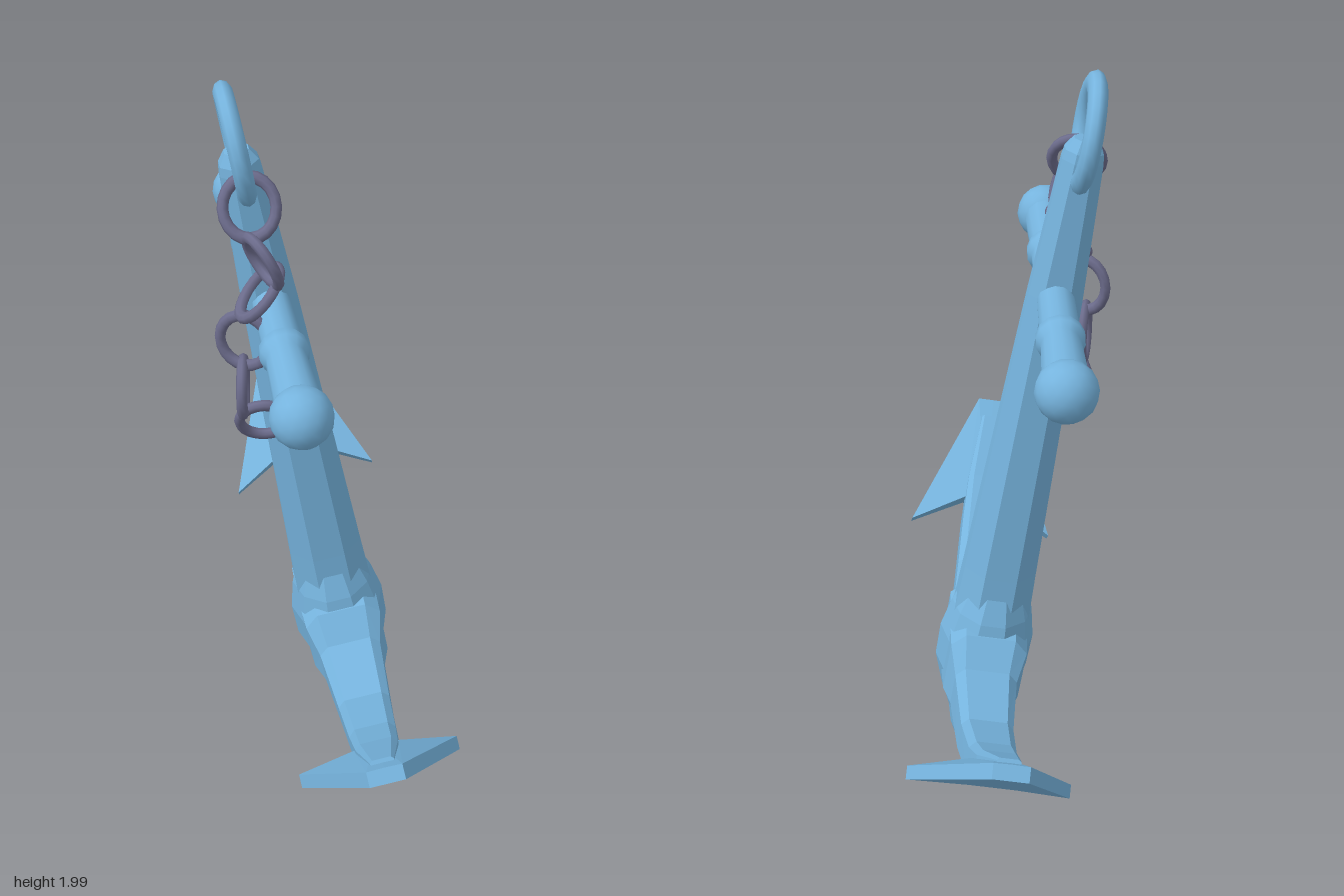
import * as THREE from 'three';

const iron = new THREE.MeshStandardMaterial({ color: 0x76b4de, flatShading: true });
const smoothIron = new THREE.MeshStandardMaterial({ color: 0x76b4de });
const chainIron = new THREE.MeshStandardMaterial({ color: 0x6c6c8c });

function part(name, geometry, parent, material = iron) {
  const mesh = new THREE.Mesh(geometry, material);
  mesh.name = name;
  parent.add(mesh);
  return mesh;
}

// Chamfered rectangle with half sizes a and b, counter-clockwise
function chamfered(a, b, k = 0.5) {
  const c = Math.min(a, b) * k;
  return [[a, c - b], [a, b - c], [a - c, b], [c - a, b], [-a, b - c], [-a, c - b], [c - a, -b], [a - c, -b]];
}

// Skin over rings of equal point count, closed at both ends
function loft(rings) {
  const n = rings[0].length, pos = rings.flat(2), idx = [];
  for (let r = 0; r < rings.length - 1; r++) {
    for (let i = 0; i < n; i++) {
      const a = r * n + i, b = r * n + (i + 1) % n;
      idx.push(a, b, b + n, a, b + n, a + n);
    }
  }
  const last = (rings.length - 1) * n;
  for (let i = 1; i < n - 1; i++) {
    idx.push(0, i + 1, i, last, last + i, last + i + 1);
  }
  const g = new THREE.BufferGeometry();
  g.setAttribute('position', new THREE.Float32BufferAttribute(pos, 3));
  g.setIndex(idx);
  g.computeVertexNormals();
  return g;
}

const profile = (pts) => pts.map(([r, y]) => new THREE.Vector2(r, y));

function addShank(parent) {
  // height, half width, half depth
  const sections = [[0.3, 0.105, 0.11], [0.6, 0.09, 0.098], [1.43, 0.06, 0.07],
    [1.8, 0.049, 0.052], [1.825, 0.045, 0.048], [1.855, 0.028, 0.03]];
  part('shank', loft(sections.map(([h, a, b]) =>
    chamfered(a, b, 0.6).map(([x, z]) => [x, h, -z]))), parent);
}

function addCrown(parent) {
  const pts = profile([[0, 0], [0.035, 0.008], [0.058, 0.05], [0.075, 0.11], [0.115, 0.19],
    [0.15, 0.28], [0.152, 0.38], [0.13, 0.47], [0.1, 0.54], [0.085, 0.6]]);
  const crown = part('crown', new THREE.LatheGeometry(pts, 10), parent);
  crown.scale.set(0.97, 1, 0.86);
}

function addArm(parent, side) {
  const arm = new THREE.Group();
  arm.name = side > 0 ? 'leftArm' : 'rightArm';
  arm.scale.x = side;
  parent.add(arm);

  // outward distance, height, half thickness, half width, slope
  const sections = [[0, 0.33, 0.12, 0.11, 0], [0.13, 0.33, 0.11, 0.105, 0], [0.19, 0.3, 0.07, 0.085, 0.02],
    [0.4, 0.305, 0.053, 0.07, 0.18], [0.58, 0.37, 0.05, 0.062, 0.45],
    [0.7, 0.45, 0.04, 0.055, 0.7], [0.86, 0.585, 0.018, 0.03, 0.74]];
  part('armBar', loft(sections.map(([s, h, t, w, a]) =>
    chamfered(w, t, 0.35).map(([d, v]) => [s - v * Math.sin(a), h + v * Math.cos(a), -d]))), arm);

  // Arrow-shaped fluke from two mirrored halves, raised along the middle
  const half = new THREE.ExtrudeGeometry(new THREE.Shape(profile(
    [[0, 0.08], [0.06, 0.08], [0.212, 0], [0.045, 0.415], [0, 0.415]])), { depth: 0.035, bevelEnabled: false });
  const p = half.attributes.position;
  for (let i = 0; i < p.count; i++) {
    if (p.getZ(i) > 0.01) p.setZ(i, 0.035 + 0.055 * (1 - p.getX(i) / 0.212) * (1 - p.getY(i) / 0.45));
  }
  half.computeVertexNormals();
  const fluke = new THREE.Group();
  fluke.name = 'fluke';
  const a = 0.735;
  fluke.matrixAutoUpdate = false;
  fluke.matrix.makeBasis(new THREE.Vector3(0, 0, 1), new THREE.Vector3(Math.cos(a), Math.sin(a), 0),
    new THREE.Vector3(-Math.sin(a), Math.cos(a), 0)).setPosition(0.622, 0.318, 0);
  for (const m of [1, -1]) part('flukeHalf', half, fluke).scale.x = m;
  arm.add(fluke);
}

function addStock(parent) {
  const stock = new THREE.Group();
  stock.name = 'stock';
  stock.position.y = 1.43;
  parent.add(stock);
  const pts = [[0.048, 0], [0.051, 0.23], [0.062, 0.25], [0.062, 0.275], [0.051, 0.3], [0.057, 0.47], [0.057, 0.53]];
  const full = [...pts.slice(1).reverse().map(([r, y]) => [r, -y]), ...pts];
  part('stockBar', new THREE.LatheGeometry(profile(full), 14), stock, smoothIron).rotation.z = -Math.PI / 2;
  for (const m of [1, -1]) {
    part('stockKnob', new THREE.IcosahedronGeometry(0.077, 2), stock, smoothIron).position.x = m * 0.532;
  }
}

function addChain(parent) {
  const chain = new THREE.Group();
  chain.name = 'chain';
  parent.add(chain);
  const link = new THREE.TorusGeometry(0.064, 0.014, 8, 20);
  link.scale(1, 1.15, 1);
  // centre, facing direction, long axis
  const links = [
    [[-0.22, 1.735, -0.04], [0.66, -0.45, -0.58], [0.4, 1, -0.4]],
    [[-0.25, 1.625, 0.025], [0.85, 0.35, 0.3], [0, 1, 0.3]],
    [[-0.235, 1.52, 0], [-0.55, 0.65, -0.5], [0.6, 0.8, 0.3]],
    [[-0.255, 1.375, -0.035], [0.9, 0, -0.4], [0.05, 1, 0]],
    [[-0.26, 1.235, -0.04], [0.6, 0, 0.75], [-0.15, 1, 0]],
    [[-0.205, 1.11, -0.02], [0.65, 0.4, -0.6], [-0.35, 1, 0.3]],
  ];
  for (const [c, n, l] of links) {
    const z = new THREE.Vector3(...n).normalize();
    const x = new THREE.Vector3(...l).cross(z).normalize();
    const y = z.clone().cross(x);
    const mesh = part('chainLink', link, chain, chainIron);
    mesh.quaternion.setFromRotationMatrix(new THREE.Matrix4().makeBasis(x, y, z));
    mesh.position.set(...c);
  }
}

export function createModel() {
  const model = new THREE.Group();
  model.name = 'anchorWithChain';

  // The anchor stands turned and leaning backwards
  const anchor = new THREE.Group();
  anchor.name = 'anchor';
  anchor.rotation.set(-0.17, 0.86, 0, 'YXZ');
  anchor.position.set(0.08, 0.005, 0.07);
  model.add(anchor);

  addShank(anchor);
  addCrown(anchor);
  for (const side of [1, -1]) addArm(anchor, side);
  addStock(anchor);

  // Flattened ring through the head of the shank
  const ring = part('ring', new THREE.TorusGeometry(0.121, 0.033, 10, 24), anchor, smoothIron);
  ring.position.y = 1.87;
  ring.scale.z = 0.75;

  addChain(model);
  return model;
}
